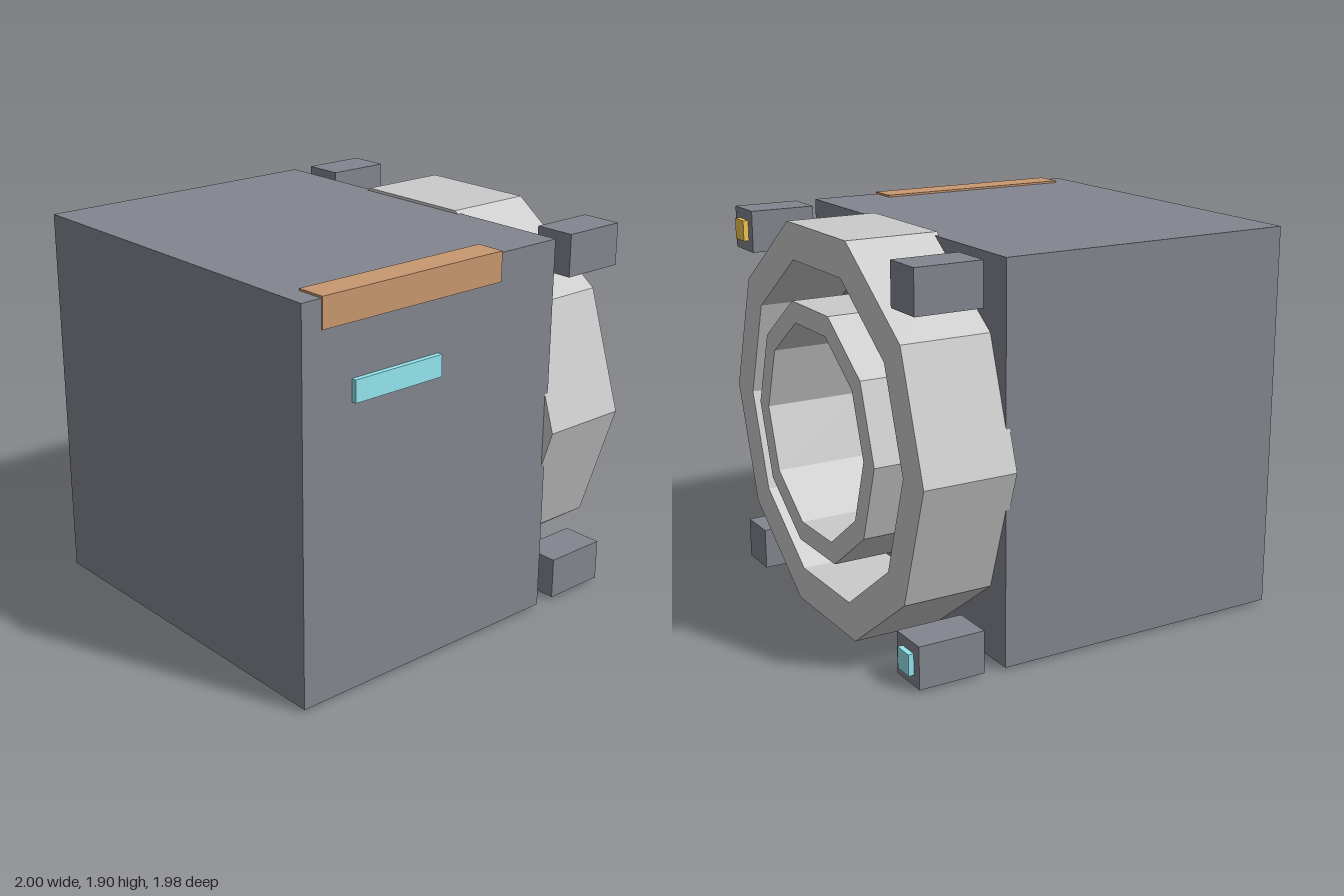
import * as THREE from 'three';

const mat = (color) => new THREE.MeshStandardMaterial({ color, flatShading: true });

export function createModel() {
  const model = new THREE.Group();
  const hull = mat(0x83868f);
  const grey = mat(0xcccccc);
  const orange = mat(0xc8986f);
  const cyan = mat(0x94e6f0);
  const yellow = mat(0xf2c754);

  const add = (name, geometry, material) => {
    const mesh = new THREE.Mesh(geometry, material);
    mesh.name = name;
    model.add(mesh);
    return mesh;
  };

  // Box given by its extents along each axis
  const box = (name, material, [x0, x1], [y0, y1], [z0, z1]) =>
    add(name, new THREE.BoxGeometry(x1 - x0, y1 - y0, z1 - z0), material)
      .position.set((x0 + x1) / 2, (y0 + y1) / 2, (z0 + z1) / 2);

  // Ten-sided ring with a ten-sided hole, lying along z
  const centreY = 0.953;
  const decagon = (r) => Array.from({ length: 10 }, (_, i) => {
    const a = (i / 10) * Math.PI * 2;
    return new THREE.Vector2(Math.cos(a) * r, Math.sin(a) * r);
  });
  const ring = (name, outer, inner, z0, z1) => {
    const shape = new THREE.Shape(decagon(outer));
    shape.holes.push(new THREE.Path(decagon(inner)));
    const geometry = new THREE.ExtrudeGeometry(shape, { depth: z1 - z0, bevelEnabled: false });
    add(name, geometry, grey).position.set(0, centreY, z0);
  };

  // Main block
  box('body', hull, [-0.94, 0.94], [0.015, 1.89], [-0.51, 0.99]);

  // Docking rings at the back
  ring('outerRing', 1, 0.815, -0.95, -0.49);
  ring('innerRing', 0.625, 0.52, -0.99, -0.5);

  // Corner blocks around the rings
  for (const side of [-1, 1]) {
    for (const y of [0.118, 1.788]) {
      const x = side * 0.835;
      box('cornerBlock', hull, [x - 0.103, x + 0.103], [y - 0.103, y + 0.103], [-0.95, -0.62]);
    }
  }

  // Signal lamps on two opposite corner blocks
  box('yellowLamp', yellow, [0.783, 0.885], [1.737, 1.839], [-0.976, -0.93]);
  box('cyanLamp', cyan, [-0.888, -0.786], [0.067, 0.17], [-0.976, -0.93]);

  // Edge trim and light strip on one side
  box('edgeTrim', orange, [0.8, 0.947], [1.757, 1.9], [-0.155, 0.885]);
  box('lightStrip', cyan, [0.92, 0.965], [1.402, 1.507], [0.22, 0.72]);

  return model;
}
